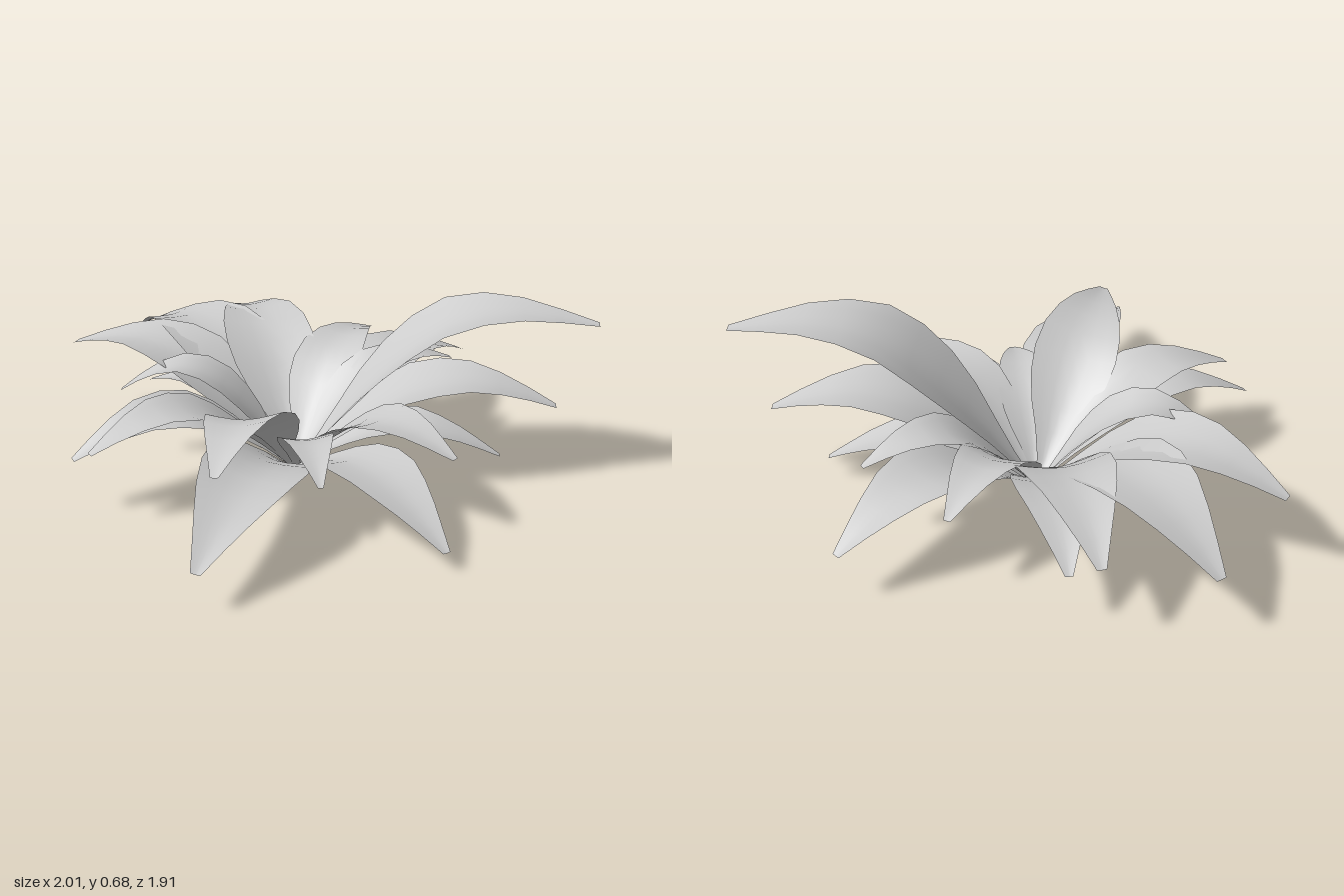
import * as THREE from 'three';

const BASE = new THREE.Vector3(-0.11, 0, -0.1);

// tip x, tip z, tip height, peak height, greatest half width, roll, sideways bend
const LEAVES = [
  // upper leaves
  [1.0, -0.1, 0.62, 0.66, 0.2],
  [-0.31, 0.71, 0.38, 0.43, 0.155, -0.16, 0.035],
  [0.14, -0.75, 0.31, 0.37, 0.13],
  [0.47, -0.47, 0.31, 0.37, 0.12],
  [0.03, 0.48, 0.23, 0.29, 0.1],
  [-0.76, -0.14, 0.29, 0.4, 0.11],
  [-0.39, -0.95, 0.3, 0.405, 0.17],
  [-1.0, -0.52, 0.31, 0.4, 0.18],
  [-0.78, -0.89, 0.24, 0.39, 0.2],
  // middle leaves
  [0.86, -0.1, 0.29, 0.38, 0.18],
  [0.49, 0.37, 0.3, 0.35, 0.14],
  [-0.79, 0.38, 0.28, 0.365, 0.14],
  [-0.87, 0.29, 0.21, 0.325, 0.14, 0.12],
  [-0.35, 0.95, 0.15, 0.28, 0.18, 0.18, -0.03],
  [0.51, -0.82, 0.19, 0.31, 0.16],
  // lower leaves
  [-0.28, -0.87, 0.2, 0.3, 0.14],
  [-0.7, -0.47, 0.18, 0.25, 0.11],
  [0.47, 0.62, 0.07, 0.205, 0.15],
  [0.66, -0.1, 0.08, 0.2, 0.12],
];

// half width along the leaf as a share of the greatest, at even steps
const WIDTH = [0.04, 0.18, 0.42, 0.71, 0.92, 1, 0.94, 0.77, 0.55, 0.32, 0.1];
const ROWS = WIDTH.length, COLS = 7;

// arching, slightly cupped blade swept along its midrib
function leafGeometry([tx, tz, tipY, peak, half, roll = 0, bend = 0]) {
  const length = Math.hypot(tx - BASE.x, tz - BASE.z);
  const dir = new THREE.Vector3(tx - BASE.x, 0, tz - BASE.z).normalize();
  const side = new THREE.Vector3(-dir.z, 0, dir.x);
  const up = new THREE.Vector3(0, 1, 0);
  // leaves that droop more reach their peak sooner
  const crest = 0.75 - 0.25 * (1 - tipY / peak);
  const midrib = new THREE.SplineCurve([
    [0, 0], [0.36 * crest, 0.56 * peak], [0.64 * crest, 0.88 * peak],
    [0.82 * crest, 0.975 * peak], [crest, peak],
    [(crest + 1) / 2, peak - 0.37 * (peak - tipY)], [1, tipY],
  ].map(([u, y]) => new THREE.Vector2(u * length, y)));

  const positions = [], index = [];
  for (let i = 0; i < ROWS; i++) {
    const t = i / (ROWS - 1);
    const p = midrib.getPointAt(t), tan = midrib.getTangentAt(t);
    const w = half * WIDTH[i];
    for (let j = 0; j < COLS; j++) {
      const s = (j / (COLS - 1)) * 2 - 1;
      const cup = w * (0.24 - 0.12 * t) * Math.abs(s) ** 1.5;
      const lift = cup * Math.cos(roll) + s * w * Math.sin(roll);
      const across = s * w * Math.cos(roll) - cup * Math.sin(roll) + bend * Math.sin(Math.PI * t);
      const v = BASE.clone()
        .addScaledVector(dir, p.x - tan.y * lift)
        .addScaledVector(up, p.y + tan.x * lift)
        .addScaledVector(side, across);
      positions.push(v.x, v.y, v.z);
      if (i < ROWS - 1 && j < COLS - 1) {
        const a = i * COLS + j, c = a + COLS;
        index.push(a, a + 1, c, a + 1, c + 1, c);
      }
    }
  }
  const geometry = new THREE.BufferGeometry();
  geometry.setAttribute('position', new THREE.Float32BufferAttribute(positions, 3));
  geometry.setIndex(index);
  geometry.computeVertexNormals();
  return geometry;
}

export function createModel() {
  const plant = new THREE.Group();
  plant.name = 'leafRosette';
  const material = new THREE.MeshStandardMaterial({ color: 0xcccccc, side: THREE.DoubleSide });
  LEAVES.forEach((leaf, i) => {
    const mesh = new THREE.Mesh(leafGeometry(leaf), material);
    mesh.name = `leaf${i + 1}`;
    plant.add(mesh);
  });
  return plant;
}
